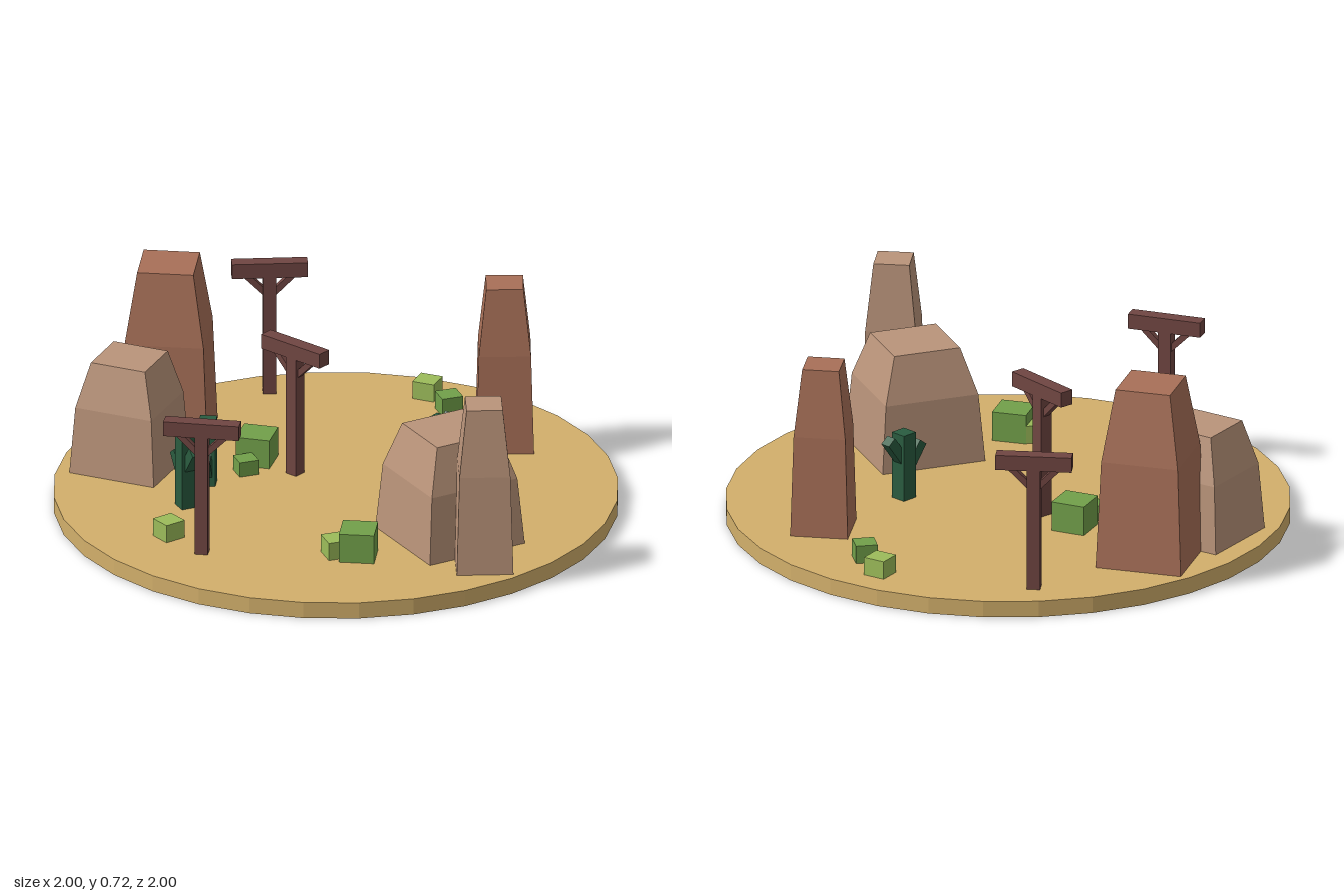
import * as THREE from 'three';

const GROUND = 0.06;

const material = (name, color) => {
  const m = new THREE.MeshStandardMaterial({ color });
  m.name = name;
  return m;
};

export function createModel() {
  const sand = material('sand', 0xd2af6b);
  const redRock = material('redRock', 0xa87058);
  const tanRock = material('tanRock', 0xba947a);
  const wood = material('wood', 0x704642);
  const cactusGreen = material('cactusGreen', 0x2a5c40);
  const leafGreen = material('leafGreen', 0x72a04a);
  const paleGreen = material('paleGreen', 0x9cbc5a);

  const model = new THREE.Group();
  model.name = 'desertScene';

  const add = (parent, name, geometry, mat, x = 0, y = 0, z = 0) => {
    const mesh = new THREE.Mesh(geometry, mat);
    mesh.name = name;
    mesh.position.set(x, y, z);
    parent.add(mesh);
    return mesh;
  };
  const box = (parent, name, [w, h, d], mat, x, y, z) =>
    add(parent, name, new THREE.BoxGeometry(w, h, d), mat, x, y, z);
  const group = (name, x, z, turn) => {
    const g = new THREE.Group();
    g.name = name;
    g.position.set(x, GROUND, z);
    g.rotation.y = turn;
    model.add(g);
    return g;
  };

  // Round sandy base
  const disc = new THREE.CylinderGeometry(1, 1, GROUND, 32).toNonIndexed();
  disc.computeVertexNormals();
  add(model, 'ground', disc, sand, 0, GROUND / 2, 0);

  // Square rock: gentle taper up to 60% of its height, then a steeper one
  const rockGeometry = (width, height, depth) => {
    const box = new THREE.BoxGeometry(width, 2, depth, 1, 2, 1);
    const pos = box.attributes.position;
    const rings = [[0, 1], [0.6, 0.9], [1, 0.64]];
    for (let i = 0; i < pos.count; i++) {
      const [level, scale] = rings[Math.round(pos.getY(i)) + 1];
      pos.setXYZ(i, pos.getX(i) * scale, level * height, pos.getZ(i) * scale);
    }
    const flat = box.toNonIndexed();
    flat.computeVertexNormals();
    return flat;
  };
  const rocks = [
    // name, material, x, z, width, height, depth, turn
    ['tallRedRock', redRock, -0.642, -0.4, 0.312, 0.66, 0.314, 0],
    ['lowTanRock', tanRock, -0.749, -0.123, 0.325, 0.413, 0.315, -0.297],
    ['wideTanRock', tanRock, 0.447, 0.361, 0.386, 0.413, 0.386, 0.638],
    ['redSpire', redRock, 0.546, -0.455, 0.205, 0.62, 0.2, 0.13],
    ['tanSpire', tanRock, 0.594, 0.593, 0.2, 0.62, 0.197, 0.16],
  ];
  for (const [name, mat, x, z, w, h, d, turn] of rocks) {
    add(model, name, rockGeometry(w, h, d), mat, x, GROUND, z).rotation.y = turn;
  }

  // Wooden posts with a cross beam and two diagonal braces
  const posts = [[-0.329, -0.799, 0.178], [-0.406, 0.607, -0.05], [-0.158, -0.112, -0.59]];
  for (const [x, z, turn] of posts) {
    const g = group('woodenPost', x, z, turn);
    box(g, 'post', [0.047, 0.45, 0.047], wood, 0, 0.225, 0);
    box(g, 'beam', [0.27, 0.055, 0.052], wood, 0, 0.4775, 0);
    for (const side of [-1, 1]) {
      const brace = box(g, 'brace', [0.022, 0.1, 0.024], wood, side * 0.05, 0.42, 0);
      brace.rotation.z = -side * Math.PI / 4;
    }
  }

  // Cacti: square trunk with two arms leaning outwards
  const cacti = [
    // x, z, turn, trunk height, height of the +x arm, height of the -x arm
    [-0.455, 0.01, -Math.PI / 2, 0.247, 0.085, 0.155],
    [-0.508, 0.214, -1.01, 0.31, 0.195, 0.14],
    [0.355, -0.096, -2.07, 0.247, 0.15, 0.19],
  ];
  for (const [x, z, turn, height, armPlus, armMinus] of cacti) {
    const g = group('cactus', x, z, turn);
    box(g, 'trunk', [0.06, height, 0.06], cactusGreen, 0, height / 2, 0);
    for (const [side, y] of [[1, armPlus], [-1, armMinus]]) {
      const arm = box(g, 'arm', [0.038, 0.11, 0.038], cactusGreen, side * 0.045, y, 0);
      arm.rotation.z = -side * 0.65;
    }
  }

  // Cube bushes
  const bushes = [
    // material, x, z, size, height, turn
    [leafGreen, 0.147, 0.577, 0.125, 0.108, 0],
    [paleGreen, 0.067, 0.573, 0.085, 0.066, 0.46],
    [paleGreen, -0.538, 0.487, 0.08, 0.066, 0.76],
    [leafGreen, -0.305, -0.204, 0.125, 0.108, -0.14],
    [leafGreen, -0.332, -0.098, 0.072, 0.055, 0.46],
    [paleGreen, 0.23, -0.824, 0.082, 0.066, -0.28],
    [leafGreen, 0.32, -0.706, 0.078, 0.066, 0.46],
  ];
  for (const [mat, x, z, size, height, turn] of bushes) {
    const bush = box(model, 'bush', [size, height, size], mat, x, GROUND + height / 2, z);
    bush.rotation.y = turn;
  }

  return model;
}
